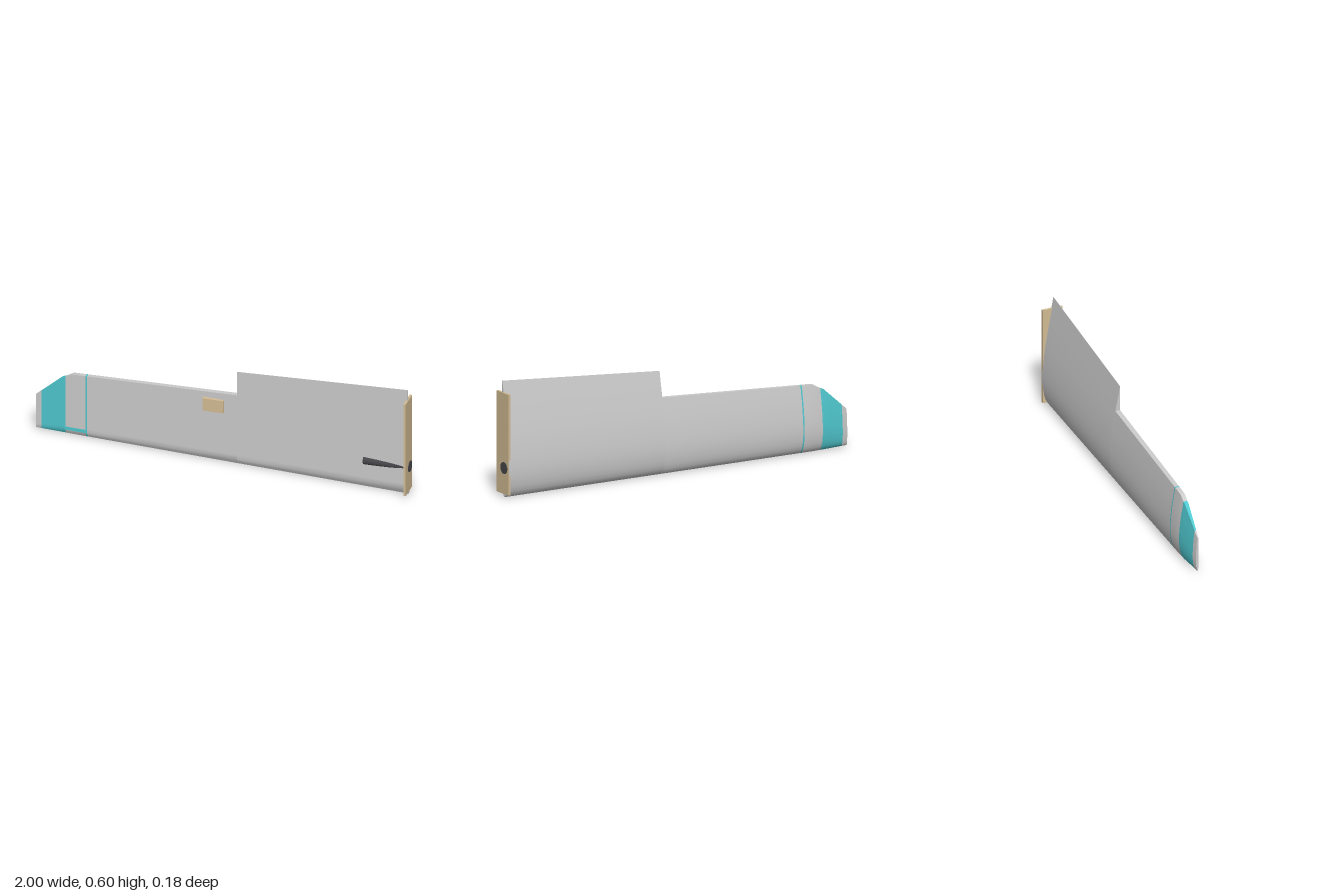
import * as THREE from 'three';
import { toCreasedNormals } from 'three/addons/utils/BufferGeometryUtils.js';

const mat = (color) => new THREE.MeshStandardMaterial({ color });
const grey = mat(0xcccccc), teal = mat(0x4fc8cf), tan = mat(0xd2bc94), dark = mat(0x48484c);

// Piecewise linear lookup in [[x, value], ...] with rising x
function lookup(table, x) {
  let i = 1;
  while (i < table.length - 1 && x > table[i][0]) i++;
  const [x0, v0] = table[i - 1], [x1, v1] = table[i];
  return v0 + (v1 - v0) * (x - x0) / (x1 - x0);
}

// Airfoil: chord fraction -> share of the full thickness
const AIRFOIL = [[0, 0.27], [0.008, 0.42], [0.02, 0.54], [0.055, 0.72], [0.1, 0.85], [0.15, 0.93], [0.2, 0.98],
  [0.26, 1], [0.33, 0.98], [0.4, 0.93], [0.5, 0.835], [0.6, 0.7], [0.7, 0.54], [0.75, 0.46], [0.87, 0.25], [1, 0.02]];

// Span tables: trailing edge height, leading edge height, thickness and flat front face
const TE_IN = [[0.08, 0.535], [1, 0.603]];
const TE_OUT = [[-1, 0.2], [-0.86, 0.322], [-0.84, 0.33], [-0.8, 0.353], [0.08, 0.4]];
const LE = [[-1, 0.01], [-0.8, 0.005], [1, 0]];
const THICK = [[-1, 0.013], [-0.86, 0.044], [-0.8, 0.05], [1, 0.065]];
const FRONT = [[-1, -0.056], [-0.82, -0.0425], [1, 0.048]];

// Closed section: front face from trailing to leading edge, then back face up again
function section(x, te, cut) {
  const T = lookup(THICK, x), f = lookup(FRONT, x), le = lookup(LE, x), top = lookup(te, x);
  const rows = AIRFOIL.filter(([s]) => s <= cut);
  const y = (s) => le + (top - le) * s / cut;
  const front = rows.map(([s]) => [x, y(s), f - 0.27 * T * Math.max(0, 1 - s / 0.055)]);
  const back = rows.map(([s, t]) => [x, y(s), f - T * t]);
  return [...front.reverse(), ...back.slice(1)];
}

// Skin through the sections at the given stations (from +x to -x), closed at both ends
function wingPart(name, stations, te, cut, material) {
  const loops = stations.map((x) => section(x, te, cut));
  const n = loops[0].length, m = (n - 1) / 2, last = loops.length - 1;
  const index = [];
  for (let j = 0; j < last; j++) {
    for (let i = 0; i < n; i++) {
      const a = j * n + i, d = j * n + (i + 1) % n;
      index.push(a, a + n, d + n, a, d + n, d);
    }
  }
  for (let i = 0; i < m; i++) {
    const a = i, b = i + 1, c = n - 2 - i, d = n - 1 - i, o = last * n;
    index.push(a, b, c, a, c, d);
    index.push(o + a, o + c, o + b, o + a, o + d, o + c);
  }
  const geo = new THREE.BufferGeometry();
  geo.setAttribute('position', new THREE.Float32BufferAttribute(loops.flat(2), 3));
  geo.setIndex(index);
  const mesh = new THREE.Mesh(toCreasedNormals(geo, 0.6), material);
  mesh.name = name;
  return mesh;
}

// Box given by its two corners
function block(name, [x0, y0, z0], [x1, y1, z1], material) {
  const mesh = new THREE.Mesh(new THREE.BoxGeometry(x1 - x0, y1 - y0, z1 - z0), material);
  mesh.position.set((x0 + x1) / 2, (y0 + y1) / 2, (z0 + z1) / 2);
  mesh.name = name;
  return mesh;
}

// Round bar between two points
function bar(name, from, to, radius, material) {
  const a = new THREE.Vector3(...from), b = new THREE.Vector3(...to);
  const mesh = new THREE.Mesh(new THREE.CylinderGeometry(radius, radius, a.distanceTo(b), 40), material);
  mesh.position.copy(a).add(b).multiplyScalar(0.5);
  mesh.quaternion.setFromUnitVectors(new THREE.Vector3(0, 1, 0), b.sub(a).normalize());
  mesh.name = name;
  return mesh;
}

export function createModel() {
  const model = new THREE.Group();
  model.name = 'wingHalf';

  // Wing panels and coloured bands, from root to tip
  const outer = 0.75;
  model.add(
    wingPart('innerWing', [0.993, 0.7, 0.4, 0.08], TE_IN, 1, grey),
    wingPart('outerWing', [0.08, -0.2, -0.5, -0.724], TE_OUT, outer, grey),
    wingPart('thinStripe', [-0.724, -0.732], TE_OUT, outer, teal),
    wingPart('wingTipPanel', [-0.732, -0.8, -0.82, -0.84], TE_OUT, outer, grey),
    wingPart('wideStripe', [-0.84, -0.86, -0.97], TE_OUT, outer, teal),
    wingPart('wingTip', [-0.97, -1], TE_OUT, outer, grey),
  );

  // Low stripe joining the two bands on the front face
  const stripe = block('lowStripe', [-0.845, 0.03, -0.001], [-0.724, 0.048, 0.0005], teal);
  stripe.position.z = lookup(FRONT, -0.785);
  stripe.rotation.y = -Math.atan(0.0497);
  model.add(stripe);

  // Root plate, spar with its end disc, and servo box
  model.add(
    block('rootPlate', [0.984, 0.018, -0.016], [0.997, 0.543, 0.093], tan),
    bar('spar', [0.755, 0.154, 0.0145], [0.99, 0.154, 0.017], 0.03, dark),
    bar('sparEnd', [0.985, 0.154, 0.024], [1, 0.154, 0.024], 0.03, dark),
    block('servoBox', [-0.1, 0.29, -0.008], [0.01, 0.36, 0.013], tan),
  );
  return model;
}
